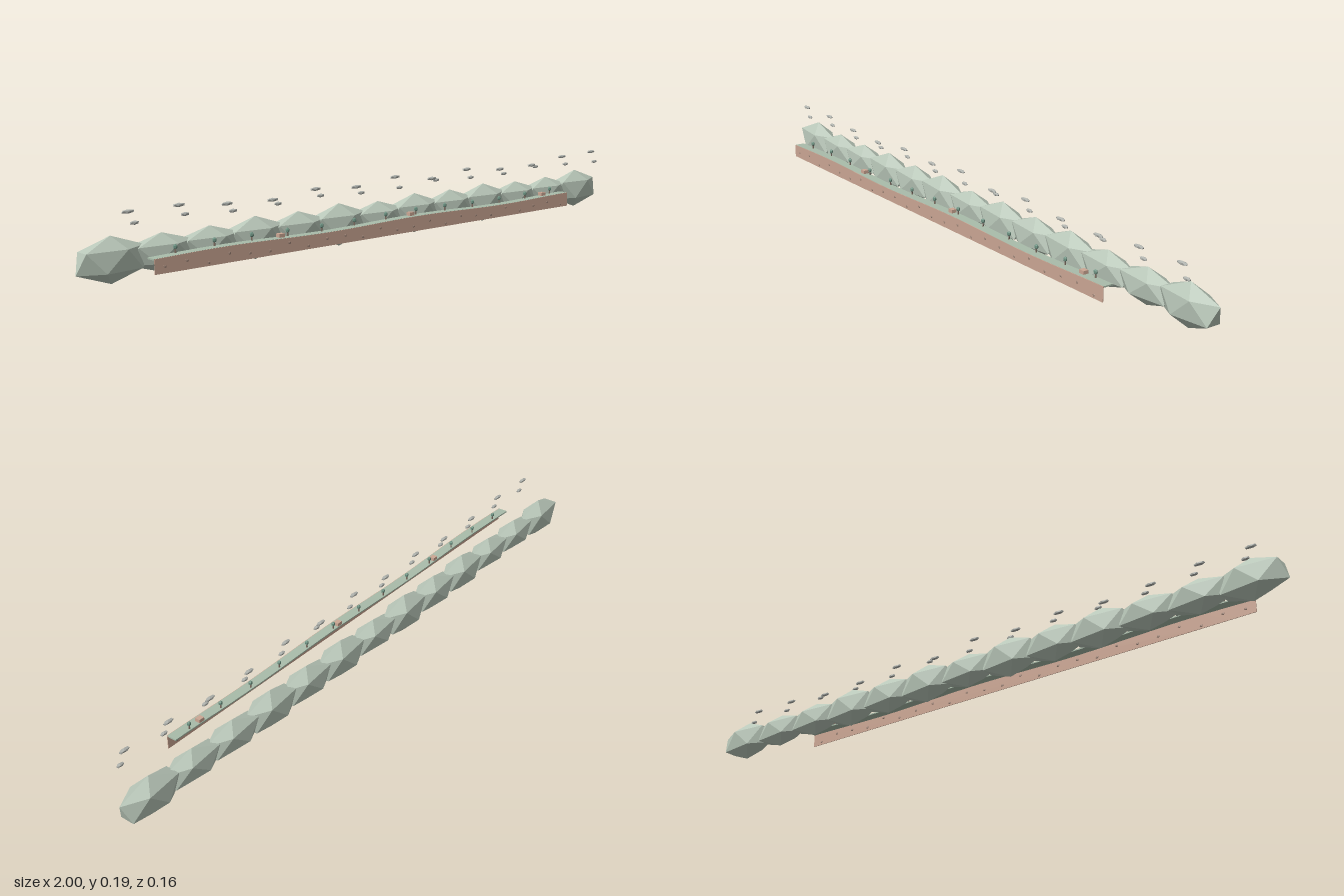
import * as THREE from 'three';

const flat = (name, color, side = THREE.FrontSide) =>
  new THREE.MeshStandardMaterial({ name, color, side, flatShading: true });

export function createModel() {
  const group = new THREE.Group();
  const sage = flat('sage', 0xb9c7b9);
  const grass = flat('grass', 0xa9bcaa);
  const clay = flat('clay', 0xcca794);
  const stone = flat('stone', 0xa58a7c);
  const foliage = flat('foliage', 0x6f9484);
  const bark = flat('bark', 0x7b6a5e);
  const mist = flat('mist', 0xb0b3ae);

  // Icosahedron standing on one corner
  const gem = new THREE.IcosahedronGeometry(1, 0);
  gem.rotateZ(-Math.atan(2 / (1 + Math.sqrt(5))));

  const add = (name, geometry, material, x, y, z, sx = 1, sy = 1, sz = 1) => {
    const mesh = new THREE.Mesh(geometry, material);
    mesh.name = name;
    mesh.position.set(x, y, z);
    mesh.scale.set(sx, sy, sz);
    group.add(mesh);
    return mesh;
  };

  // Row of faceted hills, every third one a little taller
  const tall = [1, 0.84, 0.84, 0.97, 0.9, 1, 0.84, 0.97, 0.9, 0.97, 0.84, 0.84, 1];
  tall.forEach((s, i) => add('hill', gem, sage, -0.9 + i * 0.15, 0.0635, -0.043,
    0.112, 0.0615 * s, 0.041 * (0.6 + 0.4 * s)));

  // Gently rolling ground line shared by the terrace and the cliff
  const x0 = -0.85, x1 = 0.72, steps = 40;
  const ground = (x) => 0.077 + 0.003 * Math.sin(x * 9 + 1);
  const strip = (low, depth) => {
    const top = [], bottom = [];
    for (let i = 0; i <= steps; i++) {
      const x = x0 + (x1 - x0) * i / steps;
      top.push(new THREE.Vector2(x, ground(x)));
      bottom.unshift(new THREE.Vector2(x, low(x)));
    }
    return new THREE.ExtrudeGeometry(new THREE.Shape([...top, ...bottom]),
      { depth, bevelEnabled: false });
  };
  add('terrace', strip((x) => ground(x) - 0.004, 0.03), grass, 0, 0, 0.0455);
  add('cliff', strip(() => 0.037, 0.002), clay, 0, -0.0005, 0.0752);

  // Stones set through the cliff
  for (let i = 0; i < 24; i++) {
    const x = -0.82 + i * 0.0655;
    add('cliffStone', gem, stone, x, 0.054 + 0.009 * Math.sin(i * 2.4), 0.0762,
      0.006, 0.005, 0.0028);
  }

  // Small trees along the terrace
  const trunk = new THREE.CylinderGeometry(0.0018, 0.0025, 0.014, 5);
  for (let i = 0; i < 13; i++) {
    const x = -0.772 + i * 0.1195;
    const y = ground(x);
    add('treeTrunk', trunk, bark, x, y + 0.006, 0.052);
    add('treeCrown', gem, foliage, x, y + 0.0155, 0.052, 0.0065, 0.0075, 0.0055);
  }

  // Low blocks on the terrace
  const block = new THREE.BoxGeometry(0.018, 0.012, 0.016);
  for (const x of [-0.44, 0.04, 0.62]) add('block', block, clay, x, ground(x) + 0.004, 0.055);

  // Pairs of little clouds above the hills
  const high = [0.19, 0.19, 0.177, 0.171, 0.185, 0.176, 0.19, 0.171, 0.185, 0.172, 0.171, 0.186, 0.19];
  high.forEach((y, i) => {
    const x = -0.88 + i * 0.15;
    add('cloud', gem, mist, x, y, 0.0105, 0.02, 0.0055, 0.0065);
    add('smallCloud', gem, mist, x + 0.018, 0.16 + 0.005 * Math.sin(i * 2), 0.0105,
      0.014, 0.0055, 0.006);
  });

  return group;
}
